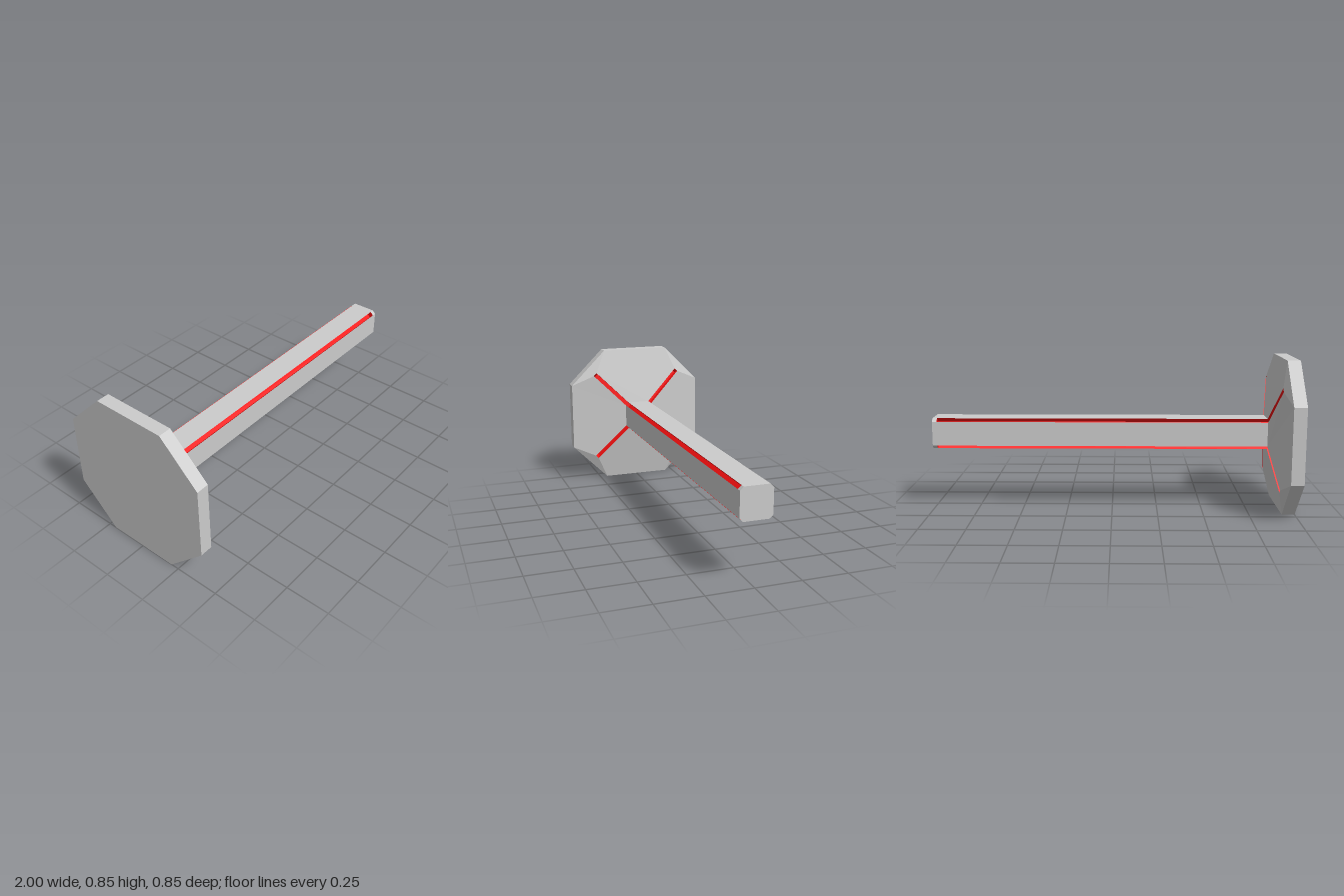
import * as THREE from 'three';

const C = 0.4225;                                  // centre height and flange radius
const H = 0.085, K = 0.067;                        // shaft half width and chamfered corner
const X0 = -1, X1 = -0.93, X2 = -0.86, XG = 0.975, X3 = 1;

// Builds a mesh from convex polygons [x, y, z], repeated four times around the x axis.
function radialMesh(name, polygons, material) {
  const pos = [];
  for (let k = 0; k < 4; k++) {
    const c = Math.round(Math.cos(k * Math.PI / 2)), s = Math.round(Math.sin(k * Math.PI / 2));
    const put = ([x, y, z]) => pos.push(x, y * c - z * s, y * s + z * c);
    for (const p of polygons)
      for (let i = 1; i < p.length - 1; i++) [p[0], p[i], p[i + 1]].forEach(put);
  }
  const g = new THREE.BufferGeometry();
  g.setAttribute('position', new THREE.Float32BufferAttribute(pos, 3));
  g.computeVertexNormals();
  const mesh = new THREE.Mesh(g, material);
  mesh.name = name;
  mesh.position.y = C;
  return mesh;
}

// Strip running along x between two (y, z) points
const strip = (a, b, xa, xb) => [[xa, ...a], [xa, ...b], [xb, ...b], [xb, ...a]];

export function createModel() {
  const group = new THREE.Group();
  const grey = new THREE.MeshStandardMaterial({ color: 0xcccccc, flatShading: true });
  const red = new THREE.MeshStandardMaterial({ color: 0xff1111, flatShading: true });

  // Square shaft with cut corners; corners are closed only at the tip
  const aL = [H, -K], a = [H, K], b = [K, H];
  group.add(radialMesh('shaft', [
    strip(aL, a, X2, X3),
    strip(a, b, XG, X3),
    [[X3, 0, 0], [X3, ...aL], [X3, ...a], [X3, ...b]],
  ], grey));

  // Octagonal flange with a shallow sloped face
  const E = 0.205, xr = -0.901, ry = 0.284, rz = 0.266;
  const oL = [C, -E], o = [C, E], p = [E, C];
  group.add(radialMesh('flange', [
    strip(oL, o, X0, X1),
    strip(o, p, X0, X1),
    [[X2, ...aL], [xr, ry, -rz], [X1, ...oL], [X1, ...o], [xr, ry, rz], [X2, ...a]],
    [[xr, ry, rz], [X1, ...o], [X1, ...p], [xr, rz, ry]],
    [[X0, 0, 0], [X0, ...p], [X0, ...o], [X0, ...oL]],
  ], grey));

  // Sunken grooves running along the shaft corners and out over the flange ridges
  const section = (xo, xi, y, z, floor) => {
    const m = floor / Math.SQRT2, w = (H - K) / 2;
    return [[xo, y, z], [xi, m + w, m - w], [xi, m - w, m + w], [xo, z, y]];
  };
  const path = [
    section(XG, XG, H, K, 0.0775),
    section(X2, -0.886, H, K, 0.0775),
    section(xr, -0.929, ry, rz, 0.372),
  ];
  const faces = [path[0], [...path[2]].reverse()];
  for (let i = 0; i < 2; i++)
    for (let j = 0; j < 3; j++)
      faces.push([path[i + 1][j], path[i + 1][j + 1], path[i][j + 1], path[i][j]]);
  group.add(radialMesh('grooves', faces, red));

  return group;
}
